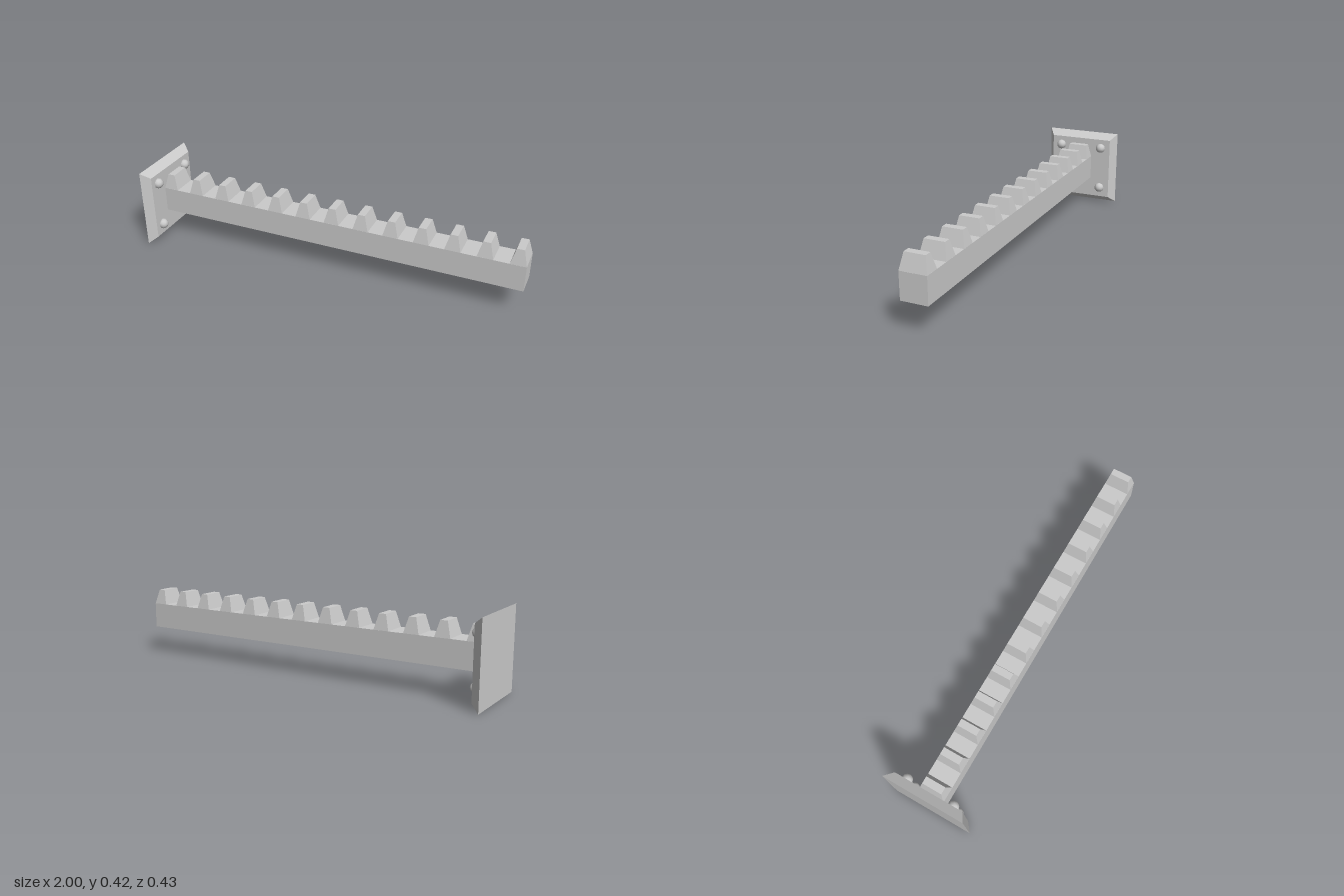
import * as THREE from 'three';

const material = new THREE.MeshStandardMaterial({ color: 0xcccccc });
const flat = new THREE.MeshStandardMaterial({ color: 0xcccccc, flatShading: true });

// Box standing on y = 0 whose top face is scaled by topX and topZ
function taperedBox(w, h, d, topX, topZ) {
  const geo = new THREE.BoxGeometry(w, h, d).translate(0, h / 2, 0);
  const pos = geo.attributes.position;
  for (let i = 0; i < pos.count; i++) {
    if (pos.getY(i) > h / 2) {
      pos.setX(i, pos.getX(i) * topX);
      pos.setZ(i, pos.getZ(i) * topZ);
    }
  }
  geo.computeVertexNormals();
  return geo;
}

function add(parent, name, geo, mat, x, y, z) {
  const mesh = new THREE.Mesh(geo, mat);
  mesh.name = name;
  mesh.position.set(x, y, z);
  parent.add(mesh);
  return mesh;
}

export function createModel() {
  const model = new THREE.Group();
  model.name = 'toothedRack';

  // Bevelled mounting plate, its narrow face turned to +x
  const plate = taperedBox(0.423, 0.045, 0.427, 0.837, 0.845).rotateZ(-Math.PI / 2);
  add(model, 'mountingPlate', plate, flat, -1, 0.2115, 0);

  // Bar
  add(model, 'bar', new THREE.BoxGeometry(1.955, 0.134, 0.134), flat, 0.0225, 0.214, 0.001);

  // Row of tapered teeth
  const teeth = new THREE.Group();
  teeth.name = 'teeth';
  model.add(teeth);
  const tooth = taperedBox(0.08, 0.08, 0.134, 0.46, 0.77);
  for (let i = 0; i < 13; i++) {
    add(teeth, 'tooth', tooth, flat, 0.96 - i * 0.1563, 0.28, 0.001);
  }

  // Low-poly rounded rivets at the plate corners
  const rivets = new THREE.Group();
  rivets.name = 'rivets';
  model.add(rivets);
  const rivet = new THREE.IcosahedronGeometry(0.028, 1);
  for (const y of [0.091, 0.338]) {
    for (const z of [0.127, -0.124]) {
      add(rivets, 'rivet', rivet, material, -0.952, y, z);
    }
  }

  return model;
}
